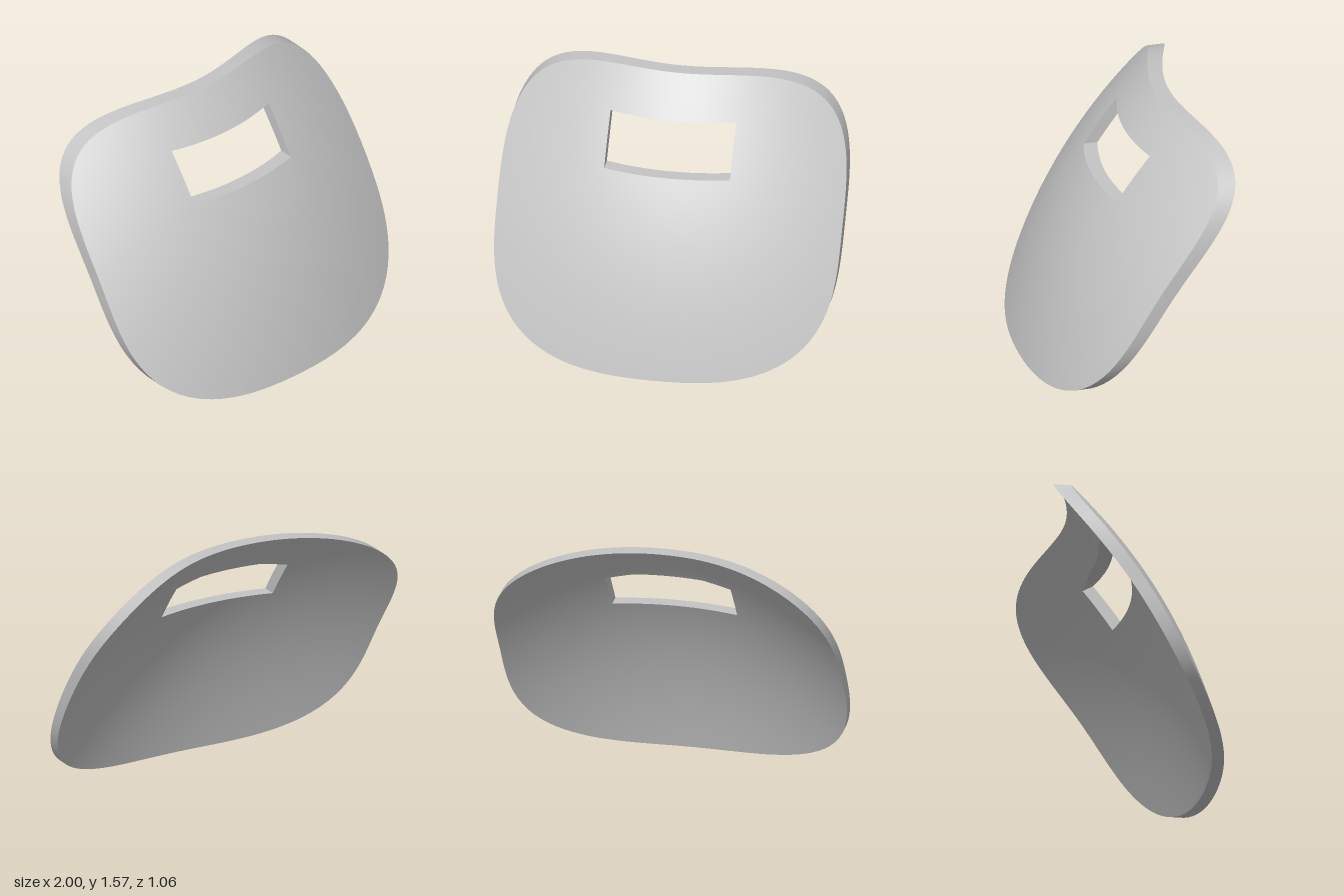
import * as THREE from 'three';
import { toCreasedNormals } from 'three/addons/utils/BufferGeometryUtils.js';

const MID_Y = 0.785, POWER = 3.2;           // rounded outline
const HOLE = { y: 1.22, w: 0.365, h: 0.135 }; // slot centre and half sizes
const RINGS = 28;

// Front surface: leaning profile, bowed backwards towards the sides
function frontZ(x, y) {
  const profile = 0.53 - 0.264 * y - 0.065 * y * y - 0.06 * y ** 3;
  const bow = 0.2 + 0.1 * y + 0.035 * y ** 3;
  return profile - bow * x * x;
}
function backZ(x, y) {
  return frontZ(x, y) - (0.07 + 0.01 * y + 0.02 * x * x * y);
}

// Ray directions around the slot, with exact rays through its corners
function rayAngles() {
  const c = Math.atan2(HOLE.h, HOLE.w);
  const stops = [-c, c, Math.PI - c, Math.PI + c, 2 * Math.PI - c];
  const counts = [32, 64, 32, 64];
  const angles = [];
  counts.forEach((n, s) => {
    for (let i = 0; i < n; i++) angles.push(stops[s] + (stops[s + 1] - stops[s]) * i / n);
  });
  return angles;
}

function slotPoint(a) {
  const dx = Math.cos(a), dy = Math.sin(a);
  const r = Math.min(HOLE.w / Math.abs(dx), HOLE.h / Math.abs(dy));
  return [dx * r, HOLE.y + dy * r];
}

// Where a ray from the slot centre meets the superellipse outline
function outlinePoint(a) {
  const dx = Math.cos(a), dy = Math.sin(a);
  let lo = 0, hi = 3;
  for (let i = 0; i < 45; i++) {
    const r = (lo + hi) / 2;
    const v = Math.abs(dx * r) ** POWER
      + Math.abs((HOLE.y + dy * r - MID_Y) / MID_Y) ** POWER;
    if (v < 1) lo = r; else hi = r;
  }
  return [dx * lo, HOLE.y + dy * lo];
}

// Closed loops of points joined into a surface
function loft(loops, flip = false) {
  const n = loops[0].length, index = [];
  for (let i = 0; i < loops.length - 1; i++) {
    for (let j = 0; j < n; j++) {
      const k = (j + 1) % n;
      const a = i * n + j, b = a + n, c = (i + 1) * n + k, d = i * n + k;
      if (flip) index.push(a, c, b, a, d, c);
      else index.push(a, b, c, a, c, d);
    }
  }
  const g = new THREE.BufferGeometry();
  g.setAttribute('position', new THREE.Float32BufferAttribute(loops.flat(2), 3));
  g.setIndex(index);
  g.computeVertexNormals();
  return g;
}

// Rings from the slot out to the rim, laid on a surface
function faceLoops(inner, outer, zAt) {
  return Array.from({ length: RINGS + 1 }, (_, i) => inner.map(([x, y], j) => {
    const t = i / RINGS;
    const px = x + (outer[j][0] - x) * t, py = y + (outer[j][1] - y) * t;
    return [px, py, zAt(px, py)];
  }));
}

export function createModel() {
  const group = new THREE.Group();
  group.name = 'curvedShell';
  const grey = new THREE.MeshStandardMaterial({ color: 0xc4c4c4 });
  grey.name = 'light grey';

  const angles = rayAngles();
  const outer = angles.map(outlinePoint);
  const slotFront = angles.map(slotPoint);
  // The slot's top edge dips at its back corners
  const slotBack = slotFront.map(([x, y]) => {
    const dip = 0.035 * Math.max(0, (Math.abs(x) - 0.2) / 0.165);
    return [x, Math.min(y, HOLE.y + HOLE.h - dip)];
  });

  const front = faceLoops(slotFront, outer, frontZ);
  const back = faceLoops(slotBack, outer, backZ);
  const add = (name, geometry) => {
    const mesh = new THREE.Mesh(geometry, grey);
    mesh.name = name;
    group.add(mesh);
  };

  add('frontFace', loft(front));
  add('backFace', loft(back, true));
  add('outerRim', loft([front[RINGS], back[RINGS]]));
  add('slotWalls', toCreasedNormals(loft([front[0], back[0]], true), 0.6));
  return group;
}
